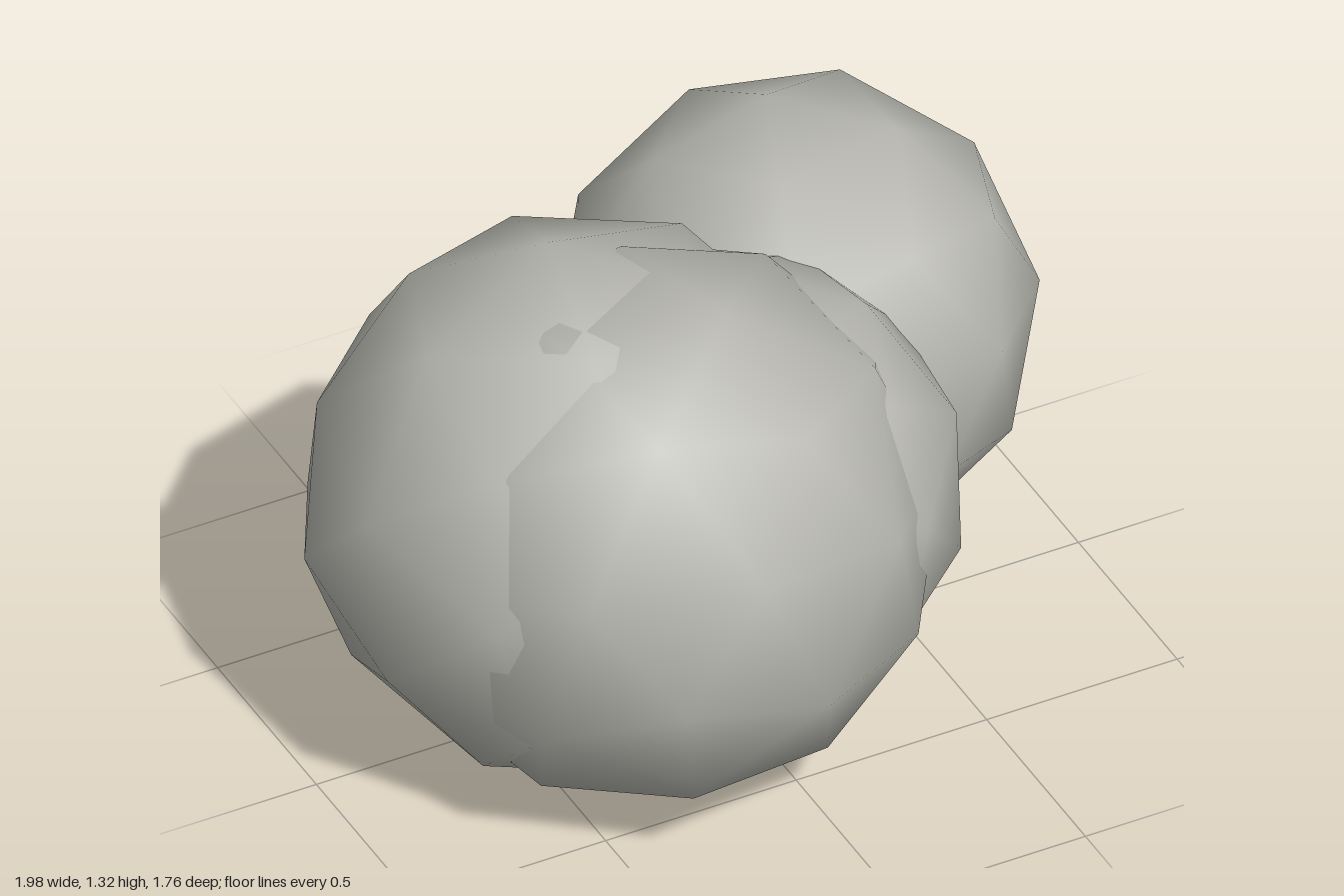
import * as THREE from 'three';

const V = (a) => new THREE.Vector3(...a);

// Orthonormal frame whose first axis is a and whose second axis leans toward b
function frame(a, b) {
  const x = V(a).normalize();
  const z = x.clone().cross(V(b)).normalize();
  return new THREE.Matrix4().makeBasis(x, z.clone().cross(x), z);
}

const T = (1 + Math.sqrt(5)) / 2;
const CORNER = [-1, T, 0]; // an icosahedron corner
const NEIGHBOUR = [1, T, 0]; // the corner next to it
const EDGE_MIDDLE = [0, 0, 1]; // an edge middle at right angles to it

// Low-poly smooth ball, turned so a corner points along 'axis' and 'ref' leans toward 'lean'
function lump(name, material, { radius, center, axis, lean, ref = NEIGHBOUR }) {
  const geometry = new THREE.IcosahedronGeometry(radius, 1);
  const turn = frame(axis, lean).multiply(frame(CORNER, ref).invert());
  geometry.applyMatrix4(turn);
  const mesh = new THREE.Mesh(geometry, material);
  mesh.name = name;
  mesh.position.set(...center);
  return mesh;
}

export function createModel() {
  const group = new THREE.Group();
  group.name = 'boulderCluster';
  const stone = new THREE.MeshStandardMaterial({ color: 0xb5b5ae });
  stone.name = 'pale stone grey';

  const lumps = {
    // Separate-looking ball at the back left
    backLeftLump: { radius: 0.575, center: [0.43, 0.65, -0.335], axis: [0.12, -0.145, 0.55], lean: [0.02, -0.545, 0.16] },
    // Three overlapping balls that form the main mass
    frontLump: { radius: 0.675, center: [-0.23, 0.655, 0.22], axis: [-0.24, -0.08, 0.66], lean: [-0.02, -0.65, 0.19] },
    backRightLump: { radius: 0.675, center: [-0.335, 0.66, 0.065], axis: [-0.67, -0.05, -0.14], lean: [0.07, 0.66, -0.11], ref: EDGE_MIDDLE },
    sideLump: { radius: 0.555, center: [0.01, 0.64, 0.16], axis: [0.55, -0.04, 0.04], lean: [0.37, -0.41, 0] },
  };
  for (const [name, spec] of Object.entries(lumps)) group.add(lump(name, stone, spec));
  return group;
}
